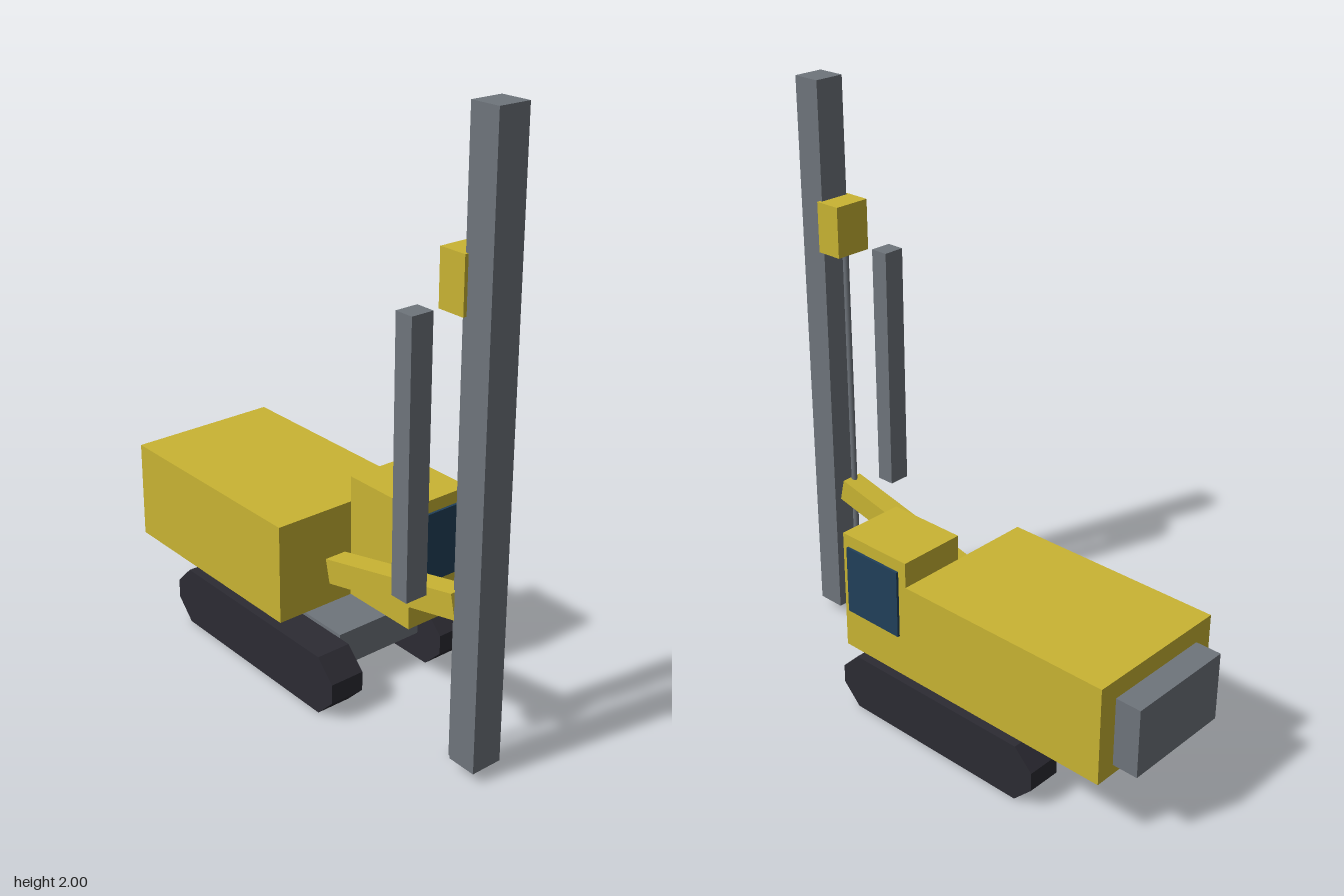
import * as THREE from 'three';

function material(name, color) {
  const m = new THREE.MeshStandardMaterial({ color });
  m.name = name;
  return m;
}

export function createModel() {
  const rig = new THREE.Group();
  rig.name = 'drillRig';

  const yellow = material('yellow paint', 0xc9b433);
  const steel = material('grey steel', 0x6f757c);
  const rubber = material('dark track', 0x2c2b33);
  const glass = material('blue glass', 0x21405a);

  function add(name, geometry, mat) {
    const mesh = new THREE.Mesh(geometry, mat);
    mesh.name = name;
    rig.add(mesh);
    return mesh;
  }

  // Box given by its extents on each axis
  function block(name, mat, [x0, x1], [y0, y1], [z0, z1]) {
    const mesh = add(name, new THREE.BoxGeometry(x1 - x0, y1 - y0, z1 - z0), mat);
    mesh.position.set((x0 + x1) / 2, (y0 + y1) / 2, (z0 + z1) / 2);
    return mesh;
  }

  // Crawler tracks: chamfered side outline, extruded across
  const outline = new THREE.Shape([
    [-0.44, 0], [0.267, 0], [0.335, 0.068], [0.335, 0.134],
    [0.267, 0.202], [-0.44, 0.202], [-0.508, 0.134], [-0.508, 0.068],
  ].map(([x, y]) => new THREE.Vector2(x, y)));
  const trackGeometry = new THREE.ExtrudeGeometry(outline, { depth: 0.122, bevelEnabled: false });
  trackGeometry.translate(0, 0, -0.061);
  for (const side of [1, -1]) {
    add(side > 0 ? 'frontTrack' : 'backTrack', trackGeometry, rubber).position.z = side * 0.226;
  }
  block('undercarriage', steel, [-0.4, 0.225], [0.095, 0.214], [-0.165, 0.165]);

  // Upper body, cab and counterweight
  block('engineHousing', yellow, [-0.75, 0.048], [0.214, 0.556], [-0.267, 0.267]);
  block('cab', yellow, [0.048, 0.335], [0.214, 0.645], [-0.267, -0.025]);
  block('counterweight', steel, [-0.84, -0.75], [0.249, 0.49], [-0.198, 0.198]);
  block('windscreen', glass, [0.335, 0.344], [0.36, 0.602], [-0.243, -0.045]);
  block('sideWindow', glass, [0.08, 0.312], [0.36, 0.602], [-0.276, -0.267]);

  // Boom carrying the mast
  const boom = add('boom', new THREE.BoxGeometry(0.586, 0.082, 0.078), yellow);
  boom.position.set(0.426, 0.466, 0.108);
  boom.rotation.z = THREE.MathUtils.degToRad(13);

  // Mast, drive head, drill rod and rod magazine
  block('mast', steel, [0.735, 0.836], [0.036, 2], [0.056, 0.164]);
  block('driveHead', yellow, [0.65, 0.745], [1.428, 1.602], [0.044, 0.176]);
  const rod = add('drillRod', new THREE.CylinderGeometry(0.0105, 0.0105, 1.43, 6), steel);
  rod.rotation.y = Math.PI / 6;
  rod.position.set(0.691, 0.715, 0.111);
  block('rodMagazine', steel, [0.581, 0.646], [0.558, 1.424], [0.19, 0.267]);

  return rig;
}
